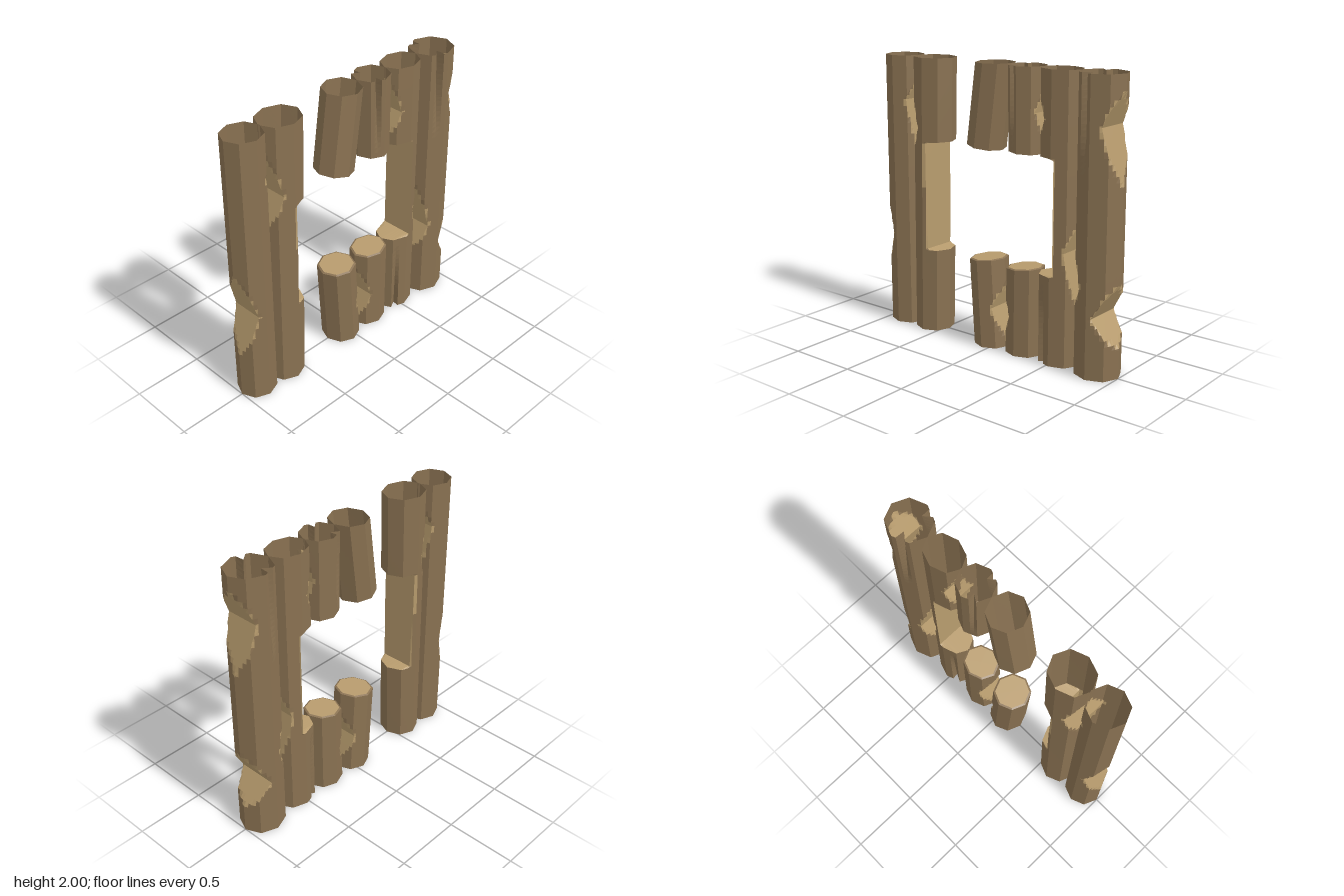
import * as THREE from 'three';

const SIDES = 8, SUB = 4, N = SIDES * SUB;

// V-shaped chip: from the edge at two heights to its deepest point between
const chip = (bottom, deep, top, edgeX, deepX) => [[bottom, edgeX], [deep, deepX], [top, edgeX]];

// flat-backed window cut between sill and lintel
const windowCut = (sill, lintel, edgeX, backX) =>
  [[sill - 0.01, edgeX], [sill, backX], [lintel, backX], [lintel + 0.01, edgeX]];

// matching splits on the front and back of a log
const splits = (front, back, shut, open) => [front, back].map(index => ({ index, shut, open, depth: 0.42 }));

// piecewise-linear lookup in a list of [y, x] points
function sample(profile, y, outside) {
  for (let k = 0; k < profile.length - 1; k++) {
    const [y0, x0] = profile[k], [y1, x1] = profile[k + 1];
    if (y >= y0 && y <= y1) return x0 + (x1 - x0) * (y - y0) / (y1 - y0);
  }
  return outside;
}

// One upright octagonal log. Chips are x limits along the height, on the
// right (lo) and left (hi); grooves are splits that widen towards an end.
function makeLog({ name, y0 = 0, y1 = 2, cx, rx, rz, lo = [], hi = [], grooves = [], cap, tilt = 0, inset = 0.1 }, bark, wood) {
  const levels = new Set([y0, y1]);
  const steps = Math.ceil((y1 - y0) / 0.04);
  for (let k = 1; k < steps; k++) levels.add(y0 + (y1 - y0) * k / steps);
  for (const p of [...lo, ...hi]) for (const [y] of p) if (y > y0 && y < y1) levels.add(y);

  const rows = [...levels].sort((a, b) => a - b).map(y => {
    const t = (y - y0) / (y1 - y0);
    const c = THREE.MathUtils.lerp(cx[0], cx[1], t), r = THREE.MathUtils.lerp(rx[0], rx[1], t);
    const min = Math.max(-9, ...lo.map(p => sample(p, y, -9)));
    const max = Math.min(9, ...hi.map(p => sample(p, y, 9)));
    const lean = cap === 'top' ? t : 1 - t;
    return Array.from({ length: N }, (_, i) => {
      const a = Math.floor(i / SUB) * 2 * Math.PI / SIDES, b = a + 2 * Math.PI / SIDES, f = (i % SUB) / SUB;
      let s = 1;
      for (const g of grooves) {
        if (g.index === i) s -= g.depth * THREE.MathUtils.clamp((y - g.shut) / (g.open - g.shut), 0, 1);
      }
      const x = c + r * s * THREE.MathUtils.lerp(Math.cos(a), Math.cos(b), f);
      const z = rz * s * THREE.MathUtils.lerp(Math.sin(a), Math.sin(b), f);
      const px = Math.min(Math.max(x, min), max);
      const p = new THREE.Vector3(px, y + tilt * (px - c) * lean, z);
      p.cut = Math.abs(px - x) > 1e-4;
      return p;
    });
  });

  const barkPos = [], woodPos = [];
  const tri = (out, ...pts) => pts.forEach(p => out.push(p.x, p.y, p.z));

  // sawn end with a narrow worn rim
  if (cap) {
    const up = cap === 'top';
    const end = up ? rows[rows.length - 1] : rows[0];
    const mid = end.reduce((m, p) => m.add(p), new THREE.Vector3()).divideScalar(N);
    const lift = up ? 0.006 : -0.006;
    const rim = end.map(p => {
      const q = p.clone().lerp(mid, inset);
      q.y += lift;
      return q;
    });
    mid.y += lift;
    rim.forEach((a, i) => {
      const b = rim[(i + 1) % N];
      if (up) tri(woodPos, mid, b, a);
      else tri(woodPos, mid, a, b);
    });
    if (up) rows.push(rim);
    else rows.unshift(rim);
  }

  // wall: bark, or bare wood where the log is cut
  for (let j = 0; j < rows.length - 1; j++) {
    for (let i = 0; i < N; i++) {
      const n = (i + 1) % N;
      const a = rows[j][i], b = rows[j][n], c = rows[j + 1][n], d = rows[j + 1][i];
      const out = [a, b, c, d].filter(p => p.cut).length >= 2 ? woodPos : barkPos;
      tri(out, a, d, b);
      tri(out, b, d, c);
    }
  }

  const group = new THREE.Group();
  group.name = name;
  for (const [part, pos, mat] of [['Bark', barkPos, bark], ['CutWood', woodPos, wood]]) {
    if (!pos.length) continue;
    const geo = new THREE.BufferGeometry();
    geo.setAttribute('position', new THREE.Float32BufferAttribute(pos, 3));
    geo.computeVertexNormals();
    const mesh = new THREE.Mesh(geo, mat);
    mesh.name = name + part;
    group.add(mesh);
  }
  return group;
}

export function createModel() {
  const bark = new THREE.MeshStandardMaterial({ color: 0x8a7252, flatShading: true, side: THREE.DoubleSide });
  bark.name = 'bark brown';
  const wood = new THREE.MeshStandardMaterial({ color: 0xb89c6e, flatShading: true, side: THREE.DoubleSide });
  wood.name = 'cut wood tan';

  const model = new THREE.Group();
  model.name = 'logWallWithWindow';
  const addLog = spec => model.add(makeLog(spec, bark, wood));

  // full-height logs on the right
  addLog({
    name: 'outerRightLog', cx: [-0.86, -0.86], rx: [0.14, 0.14], rz: 0.135,
    lo: [chip(0.36, 0.69, 1, -1, -0.905)],
    hi: [chip(1.25, 1.69, 1.84, -0.72, -0.77)],
  });
  addLog({
    name: 'rightJambLog', cx: [-0.605, -0.57], rx: [0.14, 0.16], rz: 0.142,
    lo: [chip(1.22, 1.5, 1.83, -0.735, -0.645)],
    hi: [windowCut(0.625, 1.4, -0.42, -0.56)],
  });

  // short logs over and under the window
  addLog({
    name: 'upperRightShortLog', y0: 1.423, cx: [-0.105, -0.028], rx: [0.135, 0.134], rz: 0.14,
    cap: 'bottom', tilt: -0.13, inset: 0.24,
  });
  addLog({
    name: 'lowerRightShortLog', y1: 0.628, cx: [-0.045, -0.085], rx: [0.135, 0.135], rz: 0.14,
    cap: 'top', tilt: 0.09,
    hi: [chip(0.03, 0.29, 0.54, 0.09, 0.015)],
  });
  addLog({
    name: 'upperLeftShortLog', y0: 1.425, cx: [0.247, 0.242], rx: [0.128, 0.134], rz: 0.128,
    cap: 'bottom', tilt: -0.03, inset: 0.24,
    hi: [chip(1.5, 1.7, 1.9, 0.38, 0.35)],
    grooves: splits(10, 21, 1.47, 2),
  });
  addLog({
    name: 'lowerLeftShortLog', y1: 0.62, cx: [0.23, 0.237], rx: [0.14, 0.137], rz: 0.128,
    cap: 'top', tilt: 0.09,
    lo: [chip(0.05, 0.27, 0.52, 0.09, 0.17)],
  });

  // full-height logs on the left
  addLog({
    name: 'leftJambLog', cx: [0.52, 0.522], rx: [0.152, 0.152], rz: 0.122,
    lo: [windowCut(0.635, 1.415, 0.36, 0.545), chip(1.48, 1.67, 1.92, 0.37, 0.45)],
    hi: [chip(0.37, 0.8, 1, 0.675, 0.61)],
    grooves: splits(11, 21, 0.56, 0),
  });
  addLog({
    name: 'outerLeftLog', cx: [0.838, 0.836], rx: [0.164, 0.164], rz: 0.153,
    lo: [chip(0.38, 0.6, 1, 0.675, 0.76)],
    hi: [chip(0.21, 0.42, 0.64, 1, 0.865), chip(1.29, 1.67, 1.89, 1, 0.905)],
    grooves: splits(10, 22, 1.38, 2),
  });

  return model;
}
